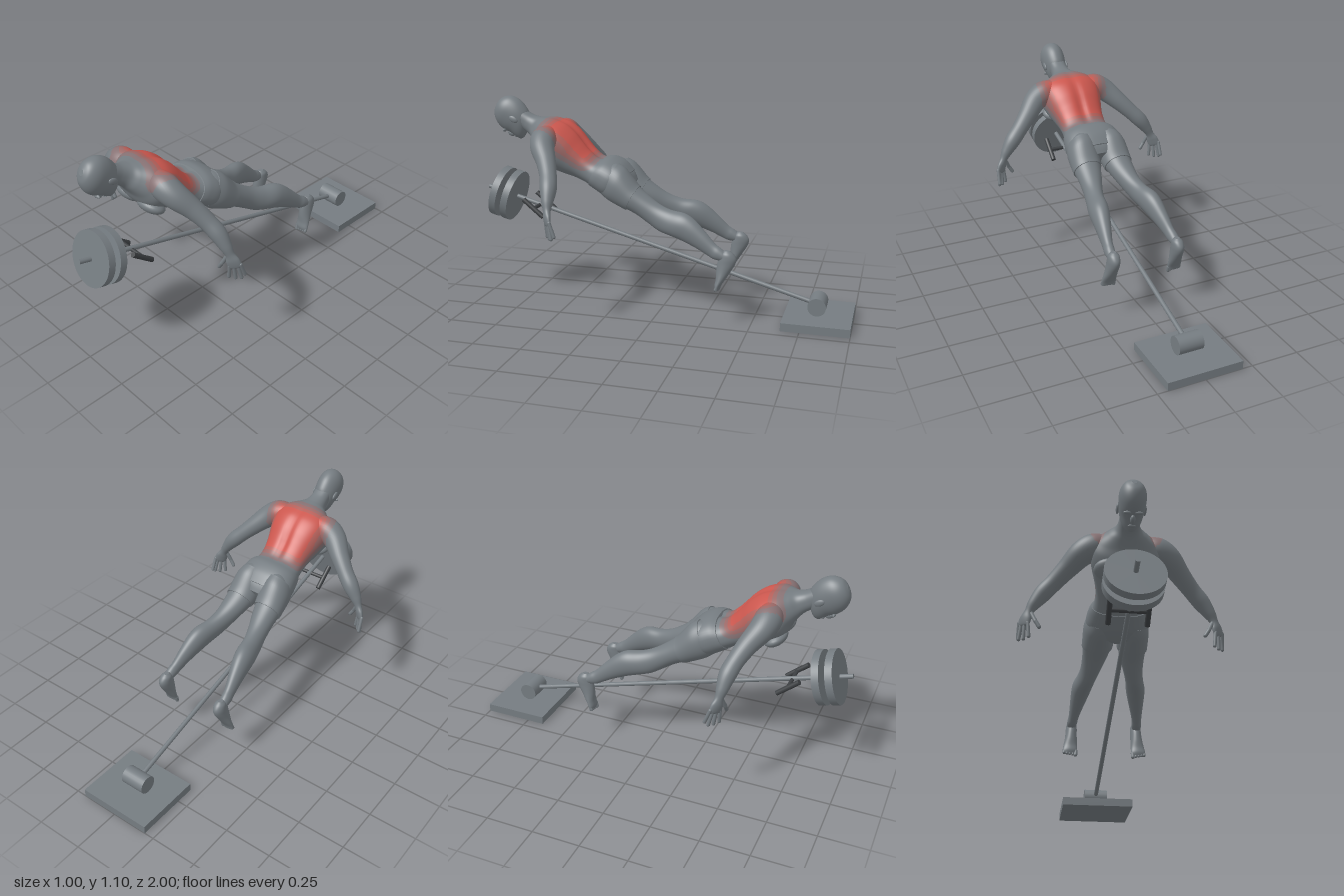
import * as THREE from 'three';

const mat = (name, color) => {
  const m = new THREE.MeshStandardMaterial({ color });
  m.name = name;
  return m;
};
const V = (x, y, z) => new THREE.Vector3(x, y, z);

// The body leans: s runs from feet to crown, t from chest to back
const S = V(0, 0.48, 0.876).normalize(), T = V(0, 0.876, -0.48).normalize();
const lean = (x, s, t) => V(x, 0.48 * s + 0.876 * t, 0.876 * s - 0.48 * t);
const upright = (x, s, t) => V(x, s, -t);

// Smooth table of section rows
function sample(rows, u) {
  const i = Math.min(Math.floor(u), rows.length - 2), f = u - i;
  const at = k => rows[Math.max(0, Math.min(rows.length - 1, k))];
  return rows[0].map((_, c) => {
    const [a, b, d, e] = [at(i - 1)[c], at(i)[c], at(i + 1)[c], at(i + 2)[c]];
    return b + 0.5 * f * (d - a + f * (2 * a - 5 * b + 4 * d - e + f * (3 * (b - d) + e - a)));
  });
}

// Closed skin over rings; ringPoint(row, angle, u, radiusFactor)
function skin(rows, ringPoint, per = 6, seg = 48) {
  const pos = [], idx = [], n = (rows.length - 1) * per, steps = [[0, 0], [0, 1]];
  for (let i = 0; i <= n; i++) steps.push([i / per, 1]);
  steps.push([n / per, 1], [n / per, 0]);
  steps.forEach(([u, k], i) => {
    const row = sample(rows, u);
    for (let j = 0; j < seg; j++) {
      pos.push(...ringPoint(row, (j / seg) * Math.PI * 2, u, k).toArray());
      if (i === steps.length - 1) continue;
      const a = i * seg + j, b = i * seg + (j + 1) % seg;
      idx.push(a, b, a + seg, b, b + seg, a + seg);
    }
  });
  const g = new THREE.BufferGeometry();
  g.setAttribute('position', new THREE.Float32BufferAttribute(pos, 3));
  g.setIndex(idx);
  g.computeVertexNormals();
  return g;
}

// Rows: [s, low t, high t, centre x, half width]
function loft(rows, map = lean, { power = 1, groove = 0, per = 6, seg = 48 } = {}) {
  const pw = v => Math.sign(v) * Math.abs(v) ** power;
  return skin(rows, ([s, lo, hi, x, hw], a, u, k) => {
    const dx = hw * pw(Math.cos(a)) * k;
    let t = (lo + hi) / 2 + (hi - lo) / 2 * pw(Math.sin(a)) * k;
    const fade = Math.max(0, 1 - Math.abs(s - 0.78) / 0.3);
    if (Math.sin(a) > 0) t -= groove * fade * Math.exp(-((dx / 0.025) ** 2));
    return map(x + dx, s, t);
  }, per, seg);
}

// Rows: [x, y, z, width radius, thickness radius]
function limb(rows, wide) {
  return skin(rows, ([x, y, z, ra, rb], a, u, k) => {
    const end = rows.length - 1;
    const p = sample(rows, Math.max(0, u - 0.1)), q = sample(rows, Math.min(end, u + 0.1));
    const d = V(q[0] - p[0], q[1] - p[1], q[2] - p[2]).normalize();
    const w = wide.clone().addScaledVector(d, -wide.dot(d)).normalize();
    const v = d.clone().cross(w);
    return V(x, y, z).addScaledVector(w, Math.cos(a) * ra * k).addScaledVector(v, Math.sin(a) * rb * k);
  }, 8, 32);
}

function blob(x, s, t, rx, rs, rt) {
  const m = new THREE.Matrix4().makeBasis(V(1, 0, 0), S, T.clone().negate());
  return new THREE.SphereGeometry(1, 24, 16).scale(rx, rs, rt).applyMatrix4(m.setPosition(lean(x, s, t)));
}

function rod(a, b, r, round = false) {
  const len = a.distanceTo(b), mid = a.clone().add(b).multiplyScalar(0.5);
  const g = round ? new THREE.CapsuleGeometry(r, len, 6, 12) : new THREE.CylinderGeometry(r, r, len, r > 0.1 ? 64 : 24);
  const q = new THREE.Quaternion().setFromUnitVectors(V(0, 1, 0), b.clone().sub(a).normalize());
  return g.applyQuaternion(q).translate(mid.x, mid.y, mid.z);
}

function mirrored(g) {
  const m = g.clone().scale(-1, 1, 1), ix = m.index;
  for (let i = 0; i < ix.count; i += 3) {
    const b = ix.getX(i + 1);
    ix.setX(i + 1, ix.getX(i + 2));
    ix.setX(i + 2, b);
  }
  m.computeVertexNormals();
  return m;
}

// Sort faces into colour groups, red over the back and fading to grey
function tintBack(g) {
  const p = g.attributes.position, ix = g.index.array, bins = [[], [], [], [], []];
  const c = V(0, 0, 0), q = V(0, 0, 0);
  for (let i = 0; i < ix.length; i += 3) {
    c.set(0, 0, 0);
    for (let k = 0; k < 3; k++) c.add(q.fromBufferAttribute(p, ix[i + k]));
    c.divideScalar(3);
    const s = c.dot(S), t = c.dot(T), w = 0.095 + 0.12 * Math.max(0, s - 0.74);
    const d = Math.hypot(Math.max(0, Math.abs(c.x) - w), Math.max(0, 0.75 - s, s - 0.955), Math.max(0, 0.505 - t) * 1.3);
    const level = [0.015, 0.035, 0.055, 0.08].findIndex(e => d < e);
    bins[level < 0 ? 4 : level].push(ix[i], ix[i + 1], ix[i + 2]);
  }
  g.setIndex(bins.flat());
  g.clearGroups();
  let start = 0;
  bins.forEach((b, i) => { g.addGroup(start, b.length, i); start += b.length; });
  return g;
}

export function createModel() {
  const root = new THREE.Group();
  const grey = mat('grey', 0x757c81), dark = mat('darkGrip', 0x3d4043);
  const back = [mat('muscleRed', 0xcb574e), mat('fadeRed', 0xb3605a), mat('fadeRose', 0x9c6967),
    mat('fadeGrey', 0x877274), grey];
  const add = (name, g, m = grey) => {
    const mesh = new THREE.Mesh(g, m);
    mesh.name = name;
    root.add(mesh);
  };
  const pair = (name, g, m = grey) => { add(name + 'Left', g, m); add(name + 'Right', mirrored(g), m); };

  // Floor plate, pivot and angled bar with two discs
  add('basePlate', new THREE.BoxGeometry(0.395, 0.043, 0.345).translate(0, 0.0215, -0.8275));
  add('pivot', rod(V(-0.065, 0.092, -0.82), V(0.065, 0.092, -0.82), 0.047));
  const onBar = z => V(0, 0.09 + (z + 0.82) * 0.28, z);
  add('bar', rod(onBar(-0.82), onBar(0.997), 0.012));
  [0.915, 0.85].forEach((z, i) => add('weightDisc' + i, rod(onBar(z - 0.018), onBar(z + 0.018), 0.139)));

  // Handle across the bar
  add('handleCrossbar', rod(V(-0.09, 0.512, 0.70), V(0.09, 0.512, 0.70), 0.01), dark);
  pair('handleGrip', rod(V(0.09, 0.558, 0.757), V(0.09, 0.468, 0.647), 0.013), dark);

  // Torso and neck
  const torso = [
    [0.46, 0.43, 0.53, 0, 0.07], [0.50, 0.395, 0.555, 0, 0.14], [0.56, 0.385, 0.572, 0, 0.153],
    [0.62, 0.385, 0.568, 0, 0.145], [0.68, 0.385, 0.537, 0, 0.128], [0.74, 0.378, 0.545, 0, 0.127],
    [0.80, 0.364, 0.566, 0, 0.138], [0.86, 0.354, 0.588, 0, 0.155], [0.92, 0.354, 0.598, 0, 0.168],
    [0.97, 0.375, 0.592, 0, 0.166], [1.01, 0.405, 0.582, 0, 0.138], [1.05, 0.425, 0.56, 0, 0.092],
    [1.08, 0.435, 0.545, 0, 0.06], [1.12, 0.44, 0.535, 0, 0.049], [1.17, 0.445, 0.535, 0, 0.048]];
  add('torso', tintBack(loft(torso, lean, { power: 0.86, groove: 0.016, per: 10, seg: 96 })), back);
  pair('chestMuscle', blob(0.075, 0.915, 0.378, 0.08, 0.06, 0.036));

  // Head with ears, nose and brow
  add('head', loft([
    [1.112, 0.392, 0.45, 0, 0.02], [1.122, 0.382, 0.49, 0, 0.036], [1.145, 0.38, 0.53, 0, 0.05],
    [1.18, 0.384, 0.552, 0, 0.059], [1.22, 0.38, 0.565, 0, 0.064], [1.26, 0.388, 0.564, 0, 0.064],
    [1.29, 0.406, 0.55, 0, 0.055], [1.312, 0.432, 0.527, 0, 0.037], [1.322, 0.465, 0.495, 0, 0.012]]));
  pair('ear', blob(0.064, 1.185, 0.475, 0.008, 0.026, 0.016));
  add('nose', blob(0, 1.182, 0.381, 0.012, 0.022, 0.016));
  add('mouth', blob(0, 1.148, 0.383, 0.02, 0.008, 0.007));
  pair('brow', blob(0.025, 1.213, 0.386, 0.022, 0.008, 0.009));

  // Legs
  const leg = [
    [-0.16, 0.47, 0.51, 0.18, 0.022], [-0.11, 0.45, 0.517, 0.177, 0.027], [-0.07, 0.447, 0.521, 0.172, 0.027],
    [0, 0.444, 0.542, 0.162, 0.036], [0.08, 0.433, 0.562, 0.15, 0.047], [0.14, 0.42, 0.56, 0.141, 0.051],
    [0.21, 0.403, 0.532, 0.126, 0.048], [0.28, 0.403, 0.52, 0.11, 0.052], [0.36, 0.405, 0.525, 0.096, 0.064],
    [0.44, 0.396, 0.54, 0.088, 0.075], [0.52, 0.39, 0.572, 0.084, 0.077], [0.57, 0.395, 0.575, 0.078, 0.071],
    [0.62, 0.42, 0.55, 0.07, 0.05]];
  pair('leg', loft(leg));

  // Shorts, a little wider than the body so hem and waist show
  const padded = (rows, lo, hi) => rows.filter(r => r[0] > lo && r[0] < hi)
    .map(([s, a, b, x, w]) => [s, a - 0.005, b + 0.005, x, w + 0.005]);
  pair('shortsLeg', loft([[0.415, 0.394, 0.538, 0.09, 0.078], ...padded(leg, 0.43, 0.6)]));
  add('shortsWaist', loft([...padded(torso, 0.49, 0.63), [0.655, 0.381, 0.555, 0, 0.139]], lean, { power: 0.86 }));

  // Feet hang down, with five toes each
  pair('foot', loft([
    [0.188, 0.322, 0.344, 0.187, 0.037], [0.21, 0.318, 0.352, 0.186, 0.039], [0.24, 0.323, 0.37, 0.184, 0.037],
    [0.28, 0.324, 0.395, 0.181, 0.033], [0.32, 0.328, 0.418, 0.179, 0.031], [0.35, 0.335, 0.424, 0.178, 0.03],
    [0.375, 0.345, 0.41, 0.177, 0.026], [0.39, 0.36, 0.39, 0.177, 0.012]], upright));
  for (let i = 0; i < 5; i++) {
    const x = 0.155 + i * 0.0155, r = i ? 0.0075 : 0.01;
    pair('toe' + i, rod(V(x, 0.205, -0.333), V(x + 0.001, 0.181 + i * 0.003, -0.327), r, true));
  }

  // Arms, flattening into the palms
  pair('arm', tintBack(limb([
    [0.09, 0.925, 0.60, 0.05, 0.045], [0.15, 0.905, 0.60, 0.067, 0.066], [0.21, 0.872, 0.585, 0.062, 0.062],
    [0.275, 0.812, 0.54, 0.05, 0.05], [0.335, 0.752, 0.505, 0.043, 0.043], [0.385, 0.70, 0.485, 0.042, 0.042],
    [0.425, 0.645, 0.476, 0.031, 0.03], [0.447, 0.605, 0.47, 0.023, 0.019], [0.46, 0.573, 0.465, 0.033, 0.017],
    [0.469, 0.543, 0.459, 0.033, 0.012], [0.471, 0.532, 0.457, 0.022, 0.006]], V(0.75, 0.1, -0.6))), back);

  // Fingers: knuckle, then tip
  [[0.49, 0.556, 0.443, 0.493, 0.488, 0.418], [0.479, 0.55, 0.452, 0.489, 0.474, 0.435],
    [0.465, 0.545, 0.464, 0.467, 0.47, 0.453], [0.45, 0.545, 0.477, 0.443, 0.475, 0.473],
    [0.435, 0.592, 0.48, 0.414, 0.547, 0.49], [0.414, 0.547, 0.49, 0.396, 0.518, 0.49]]
    .forEach(([a, b, c, d, e, f], i) => pair((i < 4 ? 'finger' : 'thumb') + i, rod(V(a, b, c), V(d, e, f), i < 4 ? 0.009 : 0.01, true)));

  return root;
}
